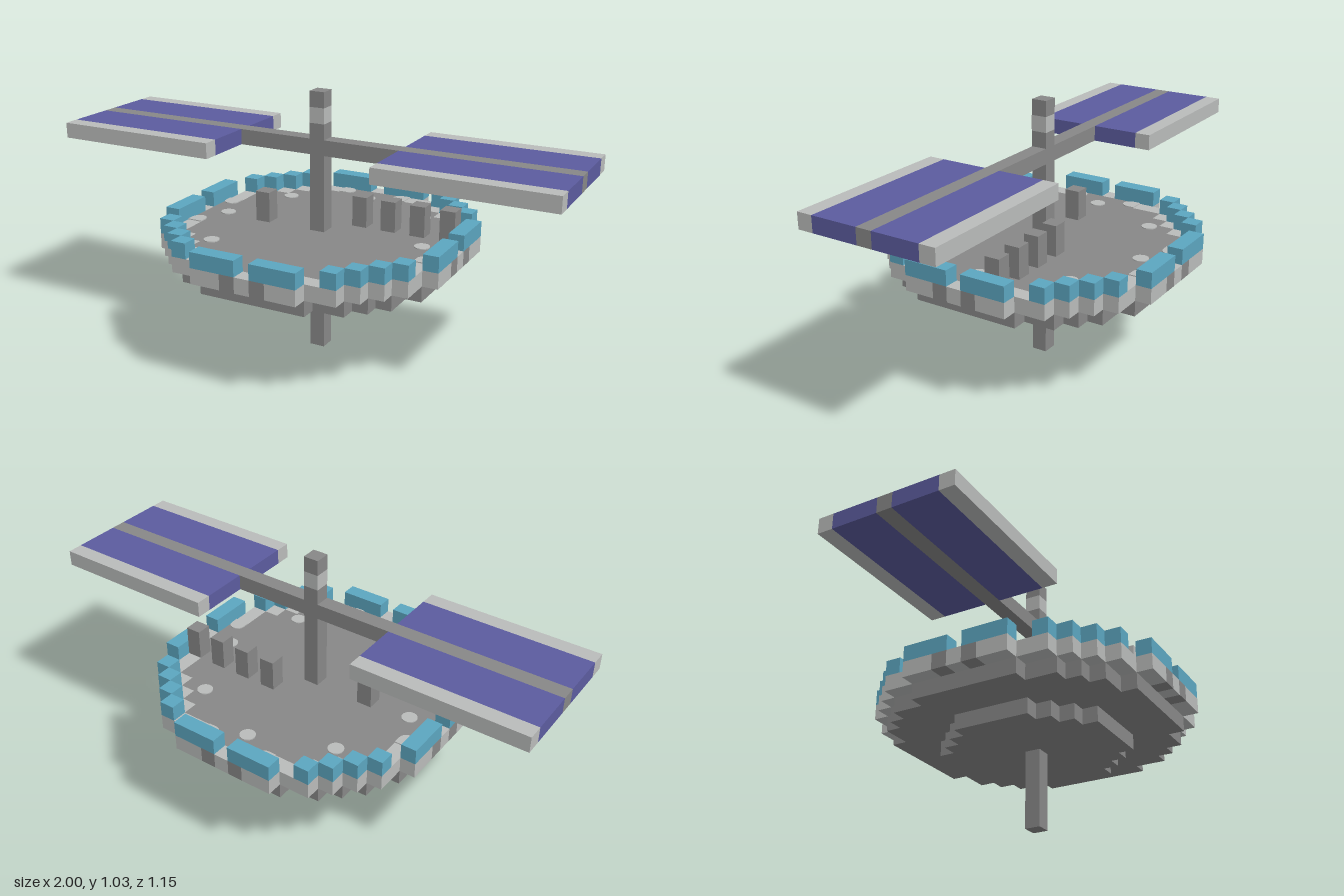
import * as THREE from 'three';
import { mergeGeometries } from 'three/addons/utils/BufferGeometryUtils.js';

const U = 2 / 33; // one block

const paint = (name, color) => {
  const m = new THREE.MeshStandardMaterial({ color });
  m.name = name;
  return m;
};

// Box covering block indices x0..x1, y0..y1, z0..z1 (inclusive)
function blocks(x0, x1, y0, y1, z0, z1) {
  const g = new THREE.BoxGeometry((x1 - x0 + 1) * U, (y1 - y0 + 1) * U, (z1 - z0 + 1) * U);
  return g.translate((x0 + x1) / 2 * U, (y0 + y1 + 1) / 2 * U, (z0 + z1) / 2 * U);
}

// One layer of blocks wherever test(x, z) holds, joined into runs along x
function layer(y, test) {
  const parts = [];
  for (let z = -9; z <= 9; z++) {
    for (let x = -9; x <= 9; x++) {
      if (!test(x, z)) continue;
      const start = x;
      while (x < 9 && test(x + 1, z)) x++;
      parts.push(blocks(start, x, y, y, z, z));
    }
  }
  return mergeGeometries(parts);
}

const r2 = (x, z) => x * x + z * z;
const inDeck = (x, z) => r2(x, z) <= 90;

// Pale blocks of the deck: the outer rim and a broken inner trim
function isPale(x, z) {
  if (!inDeck(x, z)) return false;
  const a = Math.max(Math.abs(x), Math.abs(z)), b = Math.min(Math.abs(x), Math.abs(z));
  if (a === 9) return b !== 1;
  return r2(x, z) > 74 || (a === 8 && b === 3) || (a === 7 && b === 5) || (a === 6 && b === 6);
}

// Railing: outer blocks with gaps on the axes and at the eight shoulders
function isRail(x, z) {
  const a = Math.abs(x), b = Math.abs(z);
  return inDeck(x, z) && r2(x, z) > 74 && a % 9 + b > 0 && a !== 0 && b !== 0 && a !== 4 && b !== 4;
}

export function createModel() {
  const dark = paint('dark grey', 0x888888);
  const pale = paint('pale grey', 0xbabcbb);
  const blue = paint('railing blue', 0x5ca6c0);
  const violet = paint('solar violet', 0x5c5c9f);

  const model = new THREE.Group();
  model.name = 'station';
  const add = (name, geometry, material) => {
    const mesh = new THREE.Mesh(geometry, material);
    mesh.name = name;
    model.add(mesh);
  };

  // Mast with a pale band near the top
  add('mast', blocks(0, 0, 0, 14, 0, 0), dark);
  add('mastBand', blocks(0, 0, 15, 15, 0, 0), pale);
  add('mastTip', blocks(0, 0, 16, 16, 0, 0), dark);

  // Stepped hull and deck
  add('lowerHull', layer(5, (x, z) => r2(x, z) <= 30), dark);
  add('middleHull', layer(6, (x, z) => r2(x, z) <= 74), dark);
  add('deck', layer(7, (x, z) => inDeck(x, z) && !isPale(x, z)), dark);
  add('deckRim', layer(7, isPale), pale);
  add('railing', layer(8, isRail), blue);

  // Thin round deck lights and the rounded ends of the pale trim
  const spots = [];
  const top = 8 * U + 0.002;
  const spot = (x, z) =>
    spots.push(new THREE.CylinderGeometry(U / 2, U / 2, 0.004, 20).translate(x * U, top, z * U));
  for (const s of [-1, 1]) {
    spot(0, 7 * s);
    spot(7 * s, 0);
    for (const t of [-1, 1]) {
      spot(5 * s, 5 * t);
      spot(2 * s, 8 * t);
      spot(8 * s, 2 * t);
      spots.push(new THREE.BoxGeometry(U / 2, 0.004, U).translate(2.25 * s * U, top, 8 * t * U));
      spots.push(new THREE.BoxGeometry(U, 0.004, U / 2).translate(8 * s * U, top, 2.25 * t * U));
    }
  }
  add('deckLights', mergeGeometries(spots), pale);

  // Posts standing on the deck
  for (const [x, z] of [[-4, 0], [2, -2], [4, -2], [6, -2], [8, -2]]) {
    add('post', blocks(x, x, 8, 9, z, z), dark);
  }

  // Cross beam and the two solar wings
  add('beam', blocks(-16, 16, 13, 13, 0, 0), dark);
  for (const [x0, x1] of [[-16, -6], [6, 16]]) {
    for (const [z0, z1] of [[-3, -1], [1, 3]]) add('solarPanel', blocks(x0, x1, 13, 13, z0, z1), violet);
    for (const z of [-4, 4]) add('panelFrame', blocks(x0, x1, 13, 13, z, z), pale);
  }
  return model;
}
